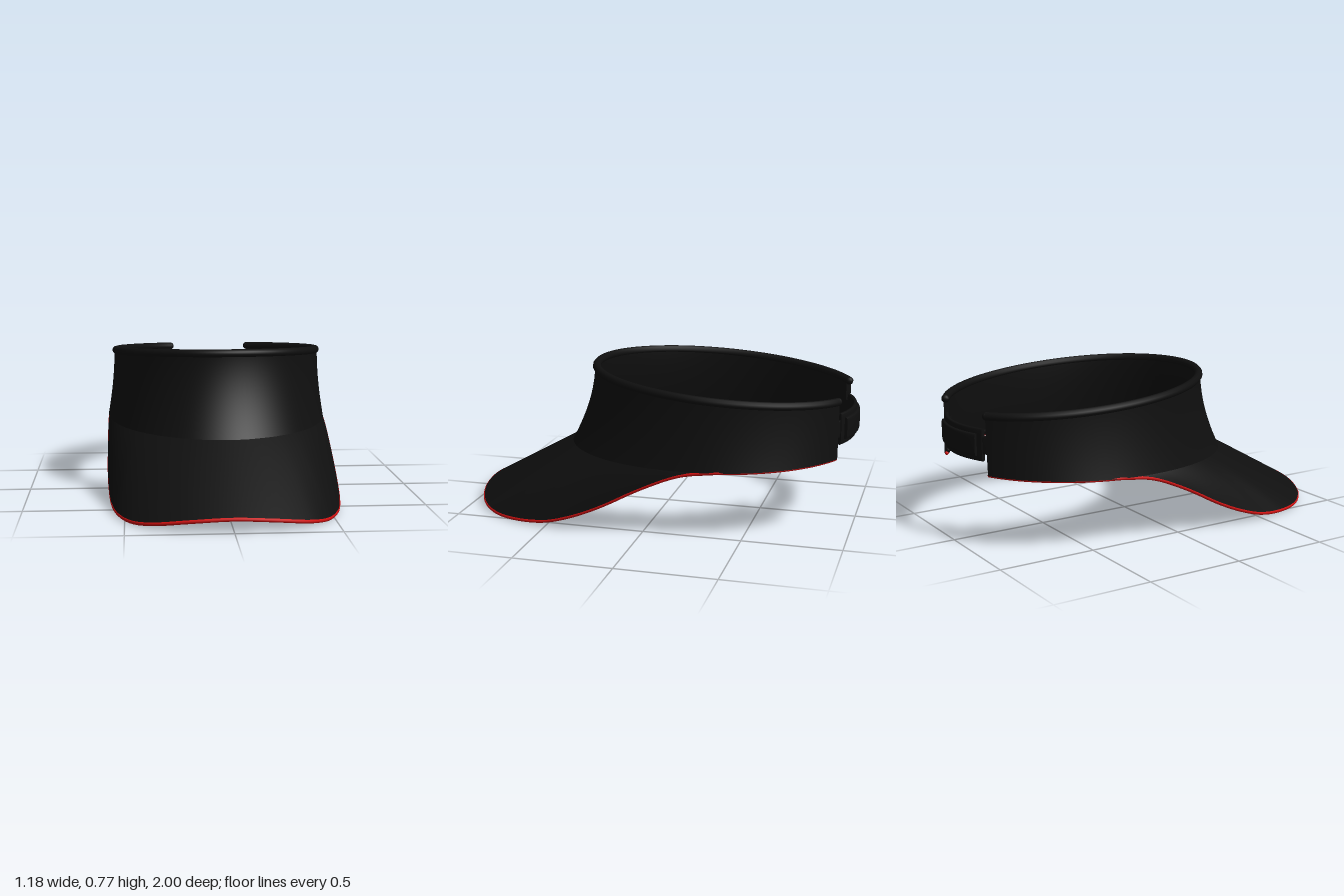
import * as THREE from 'three';
import { ParametricGeometry } from 'three/addons/geometries/ParametricGeometry.js';

const V = (x, y, z) => new THREE.Vector3(x, y, z);
const RAD = Math.PI / 180;
const END = 155 * RAD;      // angle where the open band stops (0 = front)
const THICK = 0.025;

// Point on the head band: a = angle round the head, t = 0 bottom .. 1 top
function band(a, t, inset = 0) {
  const c = Math.cos(a);
  const flare = Math.pow(1 - t, 1.8);
  const rx = 0.553 + 0.035 * flare - inset;
  const rz = (c > 0 ? 0.68 + 0.13 * flare : 0.69) - inset;
  const z = -0.3 + rz * c;
  const bottom = 0.36 - 0.02 * c;
  const top = 0.728 + 0.07 * z;
  return V(rx * Math.sin(a), THREE.MathUtils.lerp(bottom, top, t), z);
}

// Half of the brim's outer edge: [angle on the band in degrees, x, y, z]
const EDGE = [
  [0, 0, 0.073, 0.99], [14, 0.2, 0.06, 0.97], [26, 0.36, 0.036, 0.905],
  [37, 0.46, 0.02, 0.805], [47, 0.53, 0.021, 0.66], [56, 0.565, 0.037, 0.5],
  [64, 0.58, 0.082, 0.35], [72, 0.587, 0.147, 0.2], [80, 0.588, 0.252, 0],
  [88, 0.588, 0.335, -0.2], [97, 0.584, 0.363, -0.38],
];
const mirrored = (f) => [
  ...EDGE.slice(1).reverse().map((e) => f(e, -1)),
  ...EDGE.map((e) => f(e, 1)),
];
const outerCurve = new THREE.CatmullRomCurve3(mirrored(([, x, y, z], s) => V(s * x, y, z)));
const innerCurve = new THREE.CatmullRomCurve3(mirrored(([d], s) => band(s * d * RAD, 0.02, 0.006)));

// Point on the brim: u runs side to side, t from the band to the outer edge
function brim(u, t, depth = 0) {
  const a = (2 * u - 1) * 97 * RAD;
  const p = innerCurve.getPoint(u).lerp(outerCurve.getPoint(u), t);
  p.y += 0.1 * t * (1 - t) * Math.sin(a) ** 2 * Math.max(0, Math.cos(a)) * 2;
  p.x -= depth * Math.sin(a);
  p.y -= depth * Math.max(0, Math.cos(a));
  p.z -= depth * 0.4 * t;
  return p;
}

const surface = (f, nu, nv) =>
  new ParametricGeometry((u, v, target) => target.copy(f(u, v)), nu, nv);

export function createModel() {
  const model = new THREE.Group();
  model.name = 'sunVisor';
  const black = new THREE.MeshStandardMaterial({ color: 0x0f0f0f, side: THREE.DoubleSide });
  black.name = 'black fabric';
  const red = new THREE.MeshStandardMaterial({ color: 0xd01010, side: THREE.DoubleSide });
  red.name = 'red lining';

  const add = (name, geometry, material, parent = model) => {
    const mesh = new THREE.Mesh(geometry, material);
    mesh.name = name;
    parent.add(mesh);
    return mesh;
  };
  // Round cord with ball ends
  const cord = (name, points, radius, material) => {
    const group = new THREE.Group();
    group.name = name;
    model.add(group);
    const curve = new THREE.CatmullRomCurve3(points);
    add(name + 'Cord', new THREE.TubeGeometry(curve, 160, radius, 10), material, group);
    for (const p of [points[0], points[points.length - 1]])
      add(name + 'End', new THREE.SphereGeometry(radius, 10, 8), material, group).position.copy(p);
  };
  const sample = (n, f) => Array.from({ length: n + 1 }, (_, i) => f(i / n));
  const angle = (u) => (2 * u - 1) * END;

  // Head band: outer and inner walls, bottom strip and the two open ends
  add('bandOuter', surface((u, v) => band(angle(u), v), 120, 16), black);
  add('bandInner', surface((u, v) => band(angle(1 - u), v, THICK), 120, 16), black);
  add('bandBottom', surface((u, v) => band(angle(u), 0, THICK * (1 - v)), 120, 1), black);
  for (const s of [-1, 1])
    add(s > 0 ? 'leftBandEnd' : 'rightBandEnd',
      surface((u, v) => band(s * END, v, THICK * (s > 0 ? u : 1 - u)), 1, 12), black);

  // Rolled rim on top and hem along the inside bottom
  cord('rolledRim', sample(80, (u) => band(angle(u), 1, 0.01)), 0.021, black);
  cord('innerHem', sample(80, (u) => band(angle(u), 0.06, 0.02)), 0.012, black);

  // Brim: black top, red underside
  add('brimTop', surface((u, v) => brim(u, 1 - v), 120, 16), black);
  add('brimUnderside', surface((u, v) => brim(u, v, 0.016), 120, 16), red);

  // Red binding round the brim edge, carried along the band to its ends
  const tail = (s) => sample(10, (u) => band(s * (104 * RAD + u * (END - 104 * RAD)), 0, 0.012));
  cord('edgeBinding', [
    ...tail(-1).reverse(),
    ...sample(60, (u) => brim(u, 1, 0.009)),
    ...tail(1),
  ], 0.01, red);

  // Stitched seam just inside the edge of the underside
  cord('brimSeam', sample(60, (u) => brim(0.06 + 0.88 * u, 0.91, 0.017)), 0.003, black);

  // Curved strap pieces across the back opening, with a rounded-box section
  const strapPiece = (name, a0, a1, height, rIn, rOut) => {
    const group = new THREE.Group();
    group.name = name;
    model.add(group);
    const power = (c) => Math.sign(c) * Math.abs(c) ** 0.4;
    const at = (u, v, k = 1) => {
      const a = THREE.MathUtils.lerp(a0, a1, u) * RAD;
      const w = v * Math.PI * 2;
      const r = (rIn + rOut) / 2 + k * power(Math.cos(w)) * (rOut - rIn) / 2;
      const y = 0.52 + k * power(Math.sin(w)) * height / 2;
      return V((r - 0.13) * Math.sin(a), y, -0.3 + r * Math.cos(a));
    };
    add(name + 'Body', surface((u, v) => at(u, 1 - v), 32, 32), black, group);
    add(name + 'StartCap', surface((u, v) => at(0, v, u), 1, 32), black, group);
    add(name + 'EndCap', surface((u, v) => at(1, 1 - v, u), 1, 32), black, group);
  };
  strapPiece('backStrap', 158, 202, 0.16, 0.662, 0.685);
  strapPiece('strapPanel', 161, 199, 0.11, 0.67, 0.7);
  strapPiece('leftStrapTab', 148, 160, 0.09, 0.662, 0.68);
  strapPiece('rightStrapTab', 200, 212, 0.09, 0.662, 0.68);

  return model;
}
